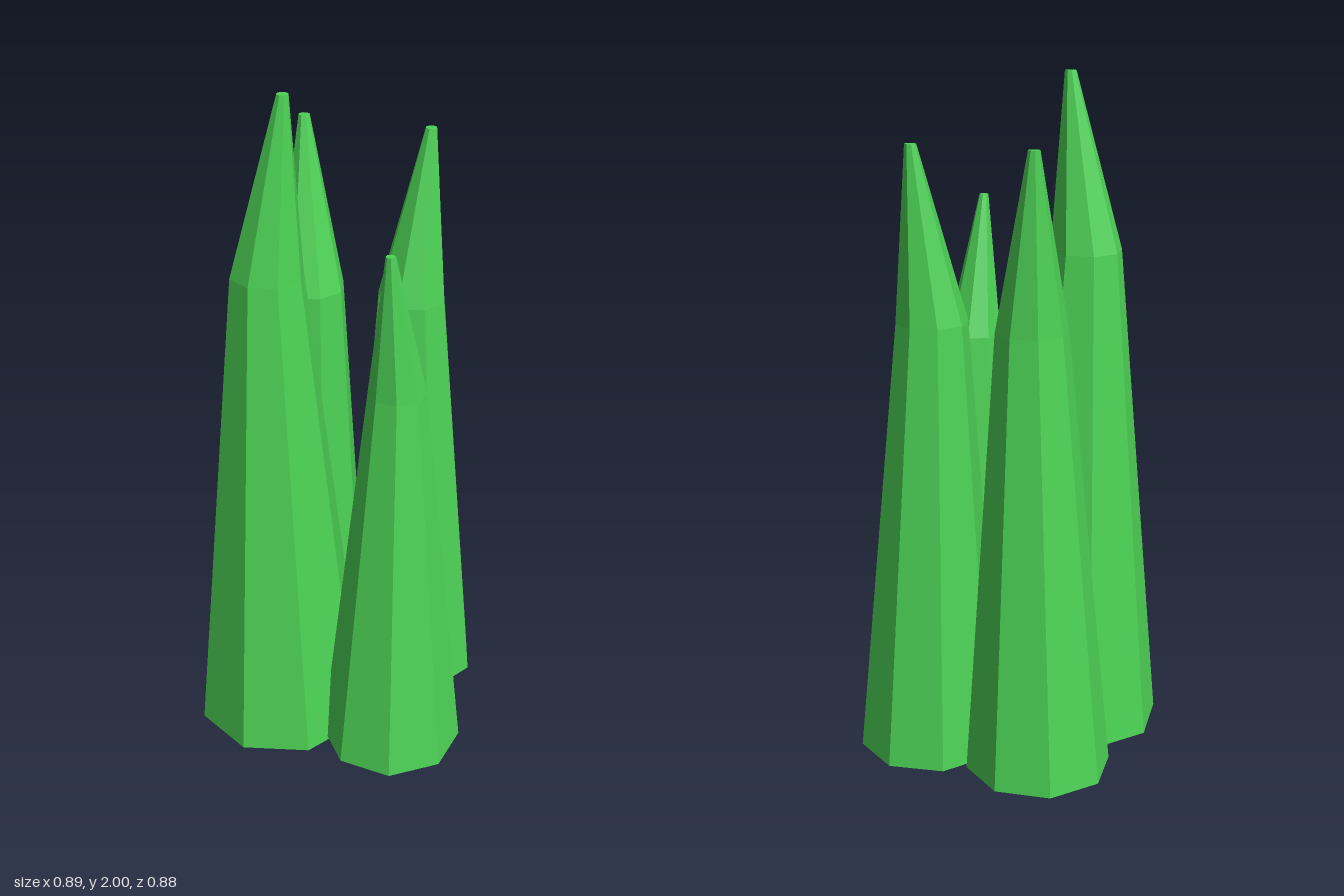
import * as THREE from 'three';

// Each ring is [x, y, z, radius], from base to shoulder to tip; turn is in degrees
const SPIKES = [
  { name: 'tallSpike', turn: 0, rings: [[-0.131, 0.003, 0.177, 0.263], [-0.148, 1.485, 0.19, 0.107], [-0.095, 2, 0.177, 0.017]] },
  { name: 'backLeftSpike', turn: -2, rings: [[0.118, 0.003, -0.229, 0.215], [0.113, 1.31, -0.209, 0.105], [0.143, 1.817, -0.257, 0.017]] },
  { name: 'backRightSpike', turn: 0.7, rings: [[-0.23, 0, -0.16, 0.215], [-0.19, 1.31, -0.144, 0.105], [-0.23, 1.82, -0.195, 0.017]] },
  { name: 'shortSpike', turn: 21.5, rings: [[0.247, 0.015, 0.178, 0.21], [0.24, 1.19, 0.157, 0.083], [0.236, 1.615, 0.205, 0.014]] },
];

// Eight-sided column whose three rings are scaled and shifted into a leaning spike
function spikeGeometry(rings, turn) {
  const geometry = new THREE.CylinderGeometry(1, 1, 2, 8, 2);
  geometry.rotateY(-THREE.MathUtils.degToRad(turn));
  const p = geometry.attributes.position;
  for (let i = 0; i < p.count; i++) {
    const [x, y, z, r] = rings[Math.round(p.getY(i)) + 1];
    p.setXYZ(i, x + p.getX(i) * r, y, z + p.getZ(i) * r);
  }
  const flat = geometry.toNonIndexed();
  flat.computeVertexNormals();
  return flat;
}

export function createModel() {
  const group = new THREE.Group();
  group.name = 'spikyPlant';
  const leafGreen = new THREE.MeshStandardMaterial({ color: 0x4cd255 });
  leafGreen.name = 'leafGreen';
  for (const { name, turn, rings } of SPIKES) {
    const mesh = new THREE.Mesh(spikeGeometry(rings, turn), leafGreen);
    mesh.name = name;
    group.add(mesh);
  }
  return group;
}
